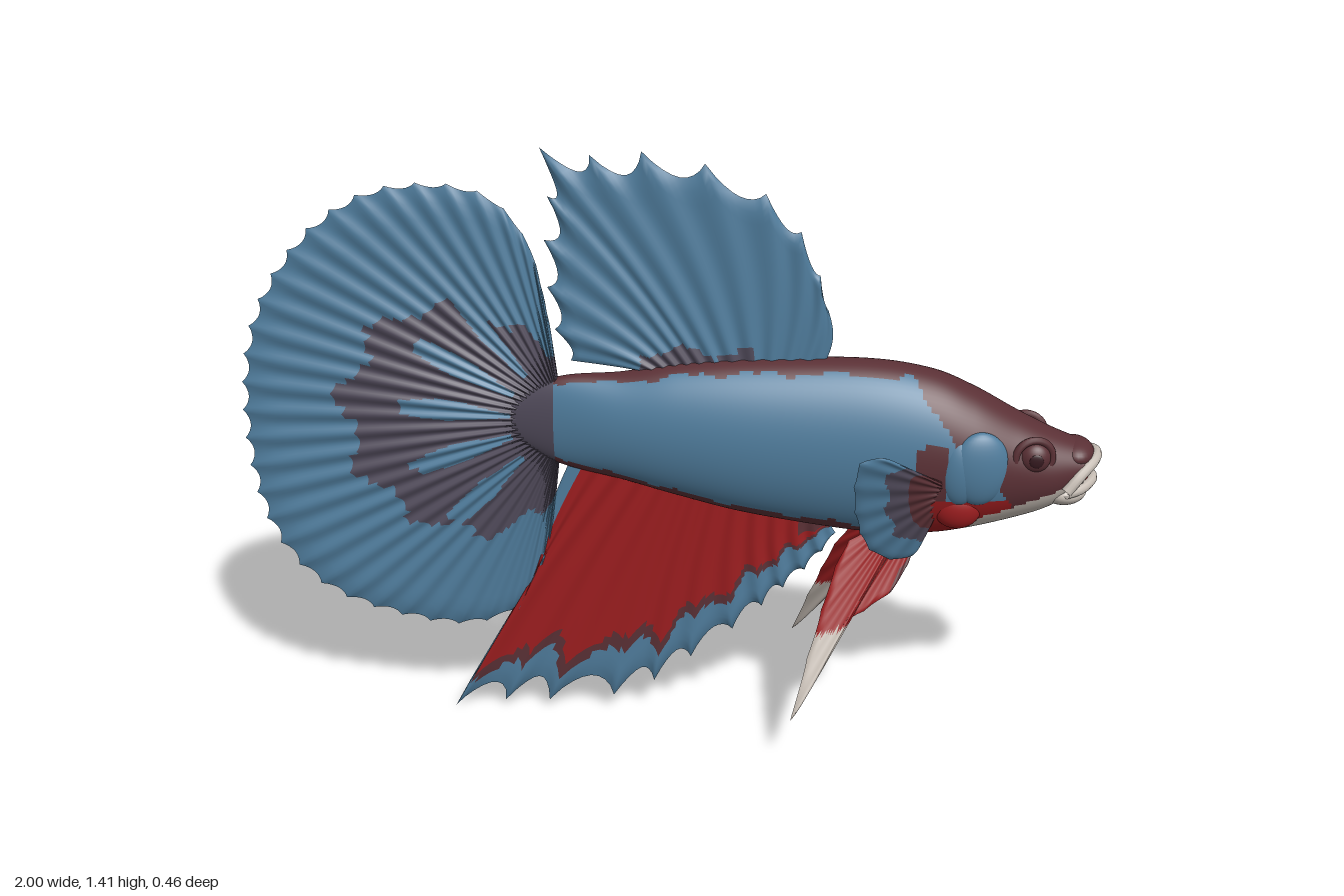
import * as THREE from 'three';

const mat = (name, color) => {
  const m = new THREE.MeshStandardMaterial({ color, side: THREE.DoubleSide });
  m.name = name;
  return m;
};

// Colour slots used by the painting rules
const BLUE = 0, MAROON = 1, RED = 2, CREAM = 3, PLUM = 4, DARK = 5;

export function createModel() {
  const mats = [
    mat('scaleBlue', 0x4f7c9c), mat('maroon', 0x5a3035), mat('finRed', 0x9c1d1f),
    mat('cream', 0xc6bdb4), mat('plum', 0x504a5a), mat('pupilDark', 0x35191f),
  ];
  const group = new THREE.Group();
  const add = (name, geo, slot) => {
    const mesh = new THREE.Mesh(geo, slot === undefined ? mats : mats[slot]);
    mesh.name = name;
    group.add(mesh);
    return mesh;
  };

  // Indexed geometry whose quads are sorted into one group per colour
  function painted(pos, quads, rule) {
    const lists = mats.map(() => []);
    for (const [a, b, c, d] of quads) {
      const mid = [0, 1, 2].map(k => (pos[a * 3 + k] + pos[b * 3 + k] + pos[c * 3 + k] + pos[d * 3 + k]) / 4);
      lists[rule(...mid, a)].push(a, b, c, a, c, d);
    }
    const geo = new THREE.BufferGeometry();
    geo.setAttribute('position', new THREE.Float32BufferAttribute(pos, 3));
    geo.setIndex(lists.flat());
    let start = 0;
    lists.forEach((l, i) => {
      if (l.length) geo.addGroup(start, l.length, i);
      start += l.length;
    });
    geo.computeVertexNormals();
    return geo;
  }

  const path = pts => new THREE.CatmullRomCurve3(
    pts.map(([x, y, z = 0]) => new THREE.Vector3(x, y, z)), false, 'catmullrom', 0.5);

  // Body: oval sections [x, top, bottom, half width]
  const sections = [
    [-0.36, 0.83, 0.73, 0.01], [-0.25, 0.885, 0.67, 0.037], [-0.1, 0.9, 0.635, 0.072], [0.03, 0.925, 0.6, 0.094],
    [0.2, 0.94, 0.56, 0.11], [0.45, 0.945, 0.525, 0.12], [0.6, 0.925, 0.525, 0.122], [0.7, 0.885, 0.542, 0.12],
    [0.8, 0.83, 0.57, 0.105], [0.88, 0.79, 0.6, 0.09], [0.955, 0.76, 0.648, 0.064],
  ];
  const heights = path(sections.map(s => [s[0], s[1], s[2]]));
  const widths = path(sections.map(s => [s[0], s[3]]));
  const NX = 130, NA = 80, pos = [], quads = [];
  for (let i = 0; i <= NX; i++) {
    const h = heights.getPoint(i / NX), w = widths.getPoint(i / NX).y;
    for (let j = 0; j < NA; j++) {
      const a = j / NA * Math.PI * 2;
      pos.push(h.x, (h.y + h.z) / 2 + (h.y - h.z) / 2 * Math.sin(a), w * Math.cos(a));
      if (i < NX) {
        const k = (j + 1) % NA;
        quads.push([i * NA + j, (i + 1) * NA + j, (i + 1) * NA + k, i * NA + k]);
      }
    }
  }
  add('body', painted(pos, quads, (x, y, z, a) => {
    const h = heights.getPoint(Math.floor(a / NA) / NX);
    const n = (y - h.z) / (h.y - h.z);
    const wave = 0.012 * Math.sin(x * 37) + 0.008 * Math.sin(x * 83);
    if (x < -0.25 + wave) return PLUM;
    if (x > 0.69 && y < 0.6 + 0.4 * (x - 0.73)) return CREAM;
    if (y > 0.93 - 1.2 * (x - 0.55) + wave) return MAROON;
    if (x > 0.58 && y < 0.65) return RED;
    if (x > 0.56 + wave && x < 0.64 && y < 0.78) return MAROON;
    if (n > 0.95 + wave || n < 0.09 + wave) return MAROON;
    return BLUE;
  }));

  // Mouth: red inside, cream lips, plus brow ridge over the snout
  const ball = (name, slot, p, s) => {
    const m = add(name, new THREE.SphereGeometry(1, 32, 20), slot);
    m.position.set(...p);
    m.scale.set(...s);
    return m;
  };
  ball('mouthInside', RED, [0.95, 0.698, 0], [0.026, 0.036, 0.056]);
  ball('snout', MAROON, [0.938, 0.735, 0], [0.045, 0.032, 0.064]);
  ball('chin', CREAM, [0.915, 0.645, 0], [0.058, 0.034, 0.074]);
  const lip = (name, pts, r) => {
    const full = [...pts, ...pts.slice(0, -1).reverse().map(([x, y, z]) => [x, y, -z])];
    add(name, new THREE.TubeGeometry(path(full), 40, r, 10), CREAM);
  };
  lip('upperLip', [[0.915, 0.665, 0.082], [0.945, 0.7, 0.068], [0.978, 0.727, 0.036], [0.987, 0.733, 0]], 0.013);
  lip('lowerLip', [[0.915, 0.66, 0.08], [0.95, 0.665, 0.06], [0.975, 0.673, 0.03], [0.982, 0.676, 0]], 0.012);

  // Eyes and layered gill covers
  for (const s of [1, -1]) {
    const side = s > 0 ? 'left' : 'right';
    ball(side + 'Eye', MAROON, [0.838, 0.748, s * 0.08], [0.036, 0.036, 0.026]);
    const ring = add(side + 'EyeRim', new THREE.TorusGeometry(0.043, 0.009, 10, 32), MAROON);
    ring.position.set(0.836, 0.748, s * 0.084);
    ring.rotation.y = s * 0.2;
    ball(side + 'Pupil', DARK, [0.84, 0.748, s * 0.104], [0.016, 0.016, 0.004]);
    ball(side + 'GillCover', BLUE, [0.715, 0.725, s * 0.1], [0.068, 0.088, 0.03]).rotation.y = s * 0.14;
    ball(side + 'GillFlap', BLUE, [0.672, 0.715, s * 0.1], [0.05, 0.08, 0.03]);
    ball(side + 'GillEdge', RED, [0.672, 0.62, s * 0.083], [0.055, 0.05, 0.03]);
  }

  // Ribbed fin spanned between a base line and a rim, closed along its edges
  function fin(name, base, rim, o) {
    const b = path(base), r = path(rim), rays = o.rays ?? rim.length - 1;
    const nu = rays * 8, nv = 28, p = [], q = [], row = nv + 1, half = (nu + 1) * row;
    const info = [];
    for (const s of [1, -1]) for (let i = 0; i <= nu; i++) {
      const u = i / nu, f = (i % 8) / 8;
      const from = b.getPoint(u), to = o.rays ? r.getPointAt(u) : r.getPoint(u);
      const notch = 1 - o.notch * Math.sin(Math.PI * f) ** 0.8;
      for (let j = 0; j <= nv; j++) {
        const v = j / nv;
        const x = from.x + (to.x - from.x) * v * notch + (o.bend ?? 0) * Math.sin(Math.PI * v);
        const y = from.y + (to.y - from.y) * v * notch;
        const edge = Math.sqrt(Math.min(1, u * rays, (1 - u) * rays, (1 - v) * 10));
        const rib = 0.45 + 0.55 * Math.cos(Math.PI * f) ** 2;
        p.push(x, y, (o.z ? o.z(x, y) : 0) + s * o.thick * edge * rib);
        info.push([u, v]);
        if (i < nu && j < nv) {
          const k = (s > 0 ? 0 : half) + i * row + j;
          q.push(s * (o.turn ?? 1) > 0 ? [k, k + 1, k + row + 1, k + row] : [k, k + row, k + row + 1, k + 1]);
        }
      }
    }
    return add(name, painted(p, q, (x, y, z, a) => o.paint(...info[a], x, y)));
  }

  // Tail: big scalloped fan with a dark streaked heart
  const reach = path([[-1.6, 0.12], [-1.0, 0.3], [-0.5, 0.42], [0, 0.5], [0.5, 0.5], [0.9, 0.42], [1.3, 0.24], [1.6, 0.14]]);
  fin('tailFin', [[-0.25, 0.87], [-0.26, 0.78], [-0.25, 0.69]], [
    [-0.26, 0.95], [-0.28, 1.08], [-0.315, 1.21], [-0.4, 1.31], [-0.54, 1.337], [-0.7, 1.305], [-0.85, 1.19], [-0.96, 1.01],
    [-0.998, 0.8], [-0.98, 0.56], [-0.91, 0.4], [-0.78, 0.295], [-0.55, 0.235], [-0.4, 0.26], [-0.32, 0.35], [-0.28, 0.46], [-0.26, 0.6],
  ], {
    rays: 38, notch: 0.022, thick: 0.013, turn: -1,
    paint: (u, v, x, y) => {
      const dx = -0.24 - x, dy = y - 0.78, d = Math.hypot(dx, dy), a = Math.atan2(dy, dx);
      const t = (a + 1.6) / 3.2;
      if (t < 0 || t > 1) return d < 0.1 ? PLUM : BLUE;
      if (d > reach.getPoint(t).y + 0.025 * Math.sin(a * 17)) return BLUE;
      const streak = Math.sin(a * 15 + 0.6) > 0.75 - 2.6 * Math.min(d - 0.13, 0.38 - d) * 2;
      return d > 0.13 && d < 0.38 && Math.abs(a) < 0.95 && streak ? BLUE : PLUM;
    },
  });

  // Dorsal fin: spiky sail leaning back
  fin('dorsalFin', [[-0.04, 0.9], [0.03, 0.91], [0.12, 0.915], [0.24, 0.925], [0.36, 0.93]], [
    [-0.22, 0.925], [-0.255, 1.0], [-0.27, 1.1], [-0.275, 1.21], [-0.265, 1.31], [-0.28, 1.42], [-0.17, 1.405], [-0.055, 1.415],
    [0.085, 1.39], [0.22, 1.325], [0.3, 1.24], [0.345, 1.14], [0.365, 1.06],
  ], {
    notch: 0.1, bend: 0.015, thick: 0.013, turn: -1,
    paint: (u, v, x, y) => (y < 0.955 + 0.015 * Math.sin(x * 40) && x > -0.06 && x < 0.2 ? PLUM : BLUE),
  });

  // Anal fin: red with a dark band and blue fringe
  fin('analFin', [[-0.22, 0.69], [0, 0.63], [0.2, 0.585], [0.4, 0.55]], [
    [-0.31, 0.42], [-0.375, 0.24], [-0.525, 0.005], [-0.4, 0.025], [-0.29, 0.03], [-0.13, 0.05], [-0.03, 0.095], [0.06, 0.165],
    [0.16, 0.245], [0.23, 0.31], [0.28, 0.36], [0.33, 0.41], [0.37, 0.46], [0.4, 0.51],
  ], {
    notch: 0.11, thick: 0.013, bend: -0.01,
    paint: (u, v, x, y) => {
      const limit = 0.8 - 0.35 * u * u + 0.05 * Math.sin(u * 45);
      if (u < 0.04) return BLUE;
      if (u > 0.85 && v < 0.4) return MAROON;
      return v < limit ? RED : v < limit + 0.07 ? MAROON : BLUE;
    },
  });

  // Paired fins
  for (const s of [1, -1]) {
    const side = s > 0 ? 'left' : 'right';
    fin(side + 'PectoralFin', [[0.63, 0.7], [0.635, 0.66], [0.63, 0.61]], [
      [0.545, 0.755], [0.49, 0.792], [0.44, 0.785], [0.43, 0.72], [0.435, 0.645], [0.45, 0.58], [0.475, 0.525], [0.525, 0.485],
      [0.58, 0.488], [0.61, 0.56],
    ], {
      notch: 0.025, thick: 0.007, turn: -s,
      z: (x, y) => s * (0.118 + 0.41 * (0.61 - x) + 0.36 * (y - 0.67)),
      paint: (u, v) => (v < 0.36 ? MAROON : v < 0.62 + 0.04 * Math.sin(u * 30) ? PLUM : BLUE),
    });
    fin(side + 'VentralFin', [[0.6, 0.54], [0.56, 0.55], [0.52, 0.55]], [
      [0.57, 0.46], [0.53, 0.4], [0.47, 0.36], [0.41, 0.315], [0.365, 0.22], [0.305, 0.13], [0.34, 0.26], [0.37, 0.36], [0.4, 0.45], [0.43, 0.505],
    ], {
      notch: 0.03, thick: 0.007, turn: -s,
      z: (x, y) => s * (0.025 + 0.52 * (0.52 - y)),
      paint: (u, v, x, y) => (y < 0.32 + 0.3 * (x - 0.4) ? CREAM : u < 0.12 && v > 0.6 ? MAROON : RED),
    });
  }
  return group;
}
